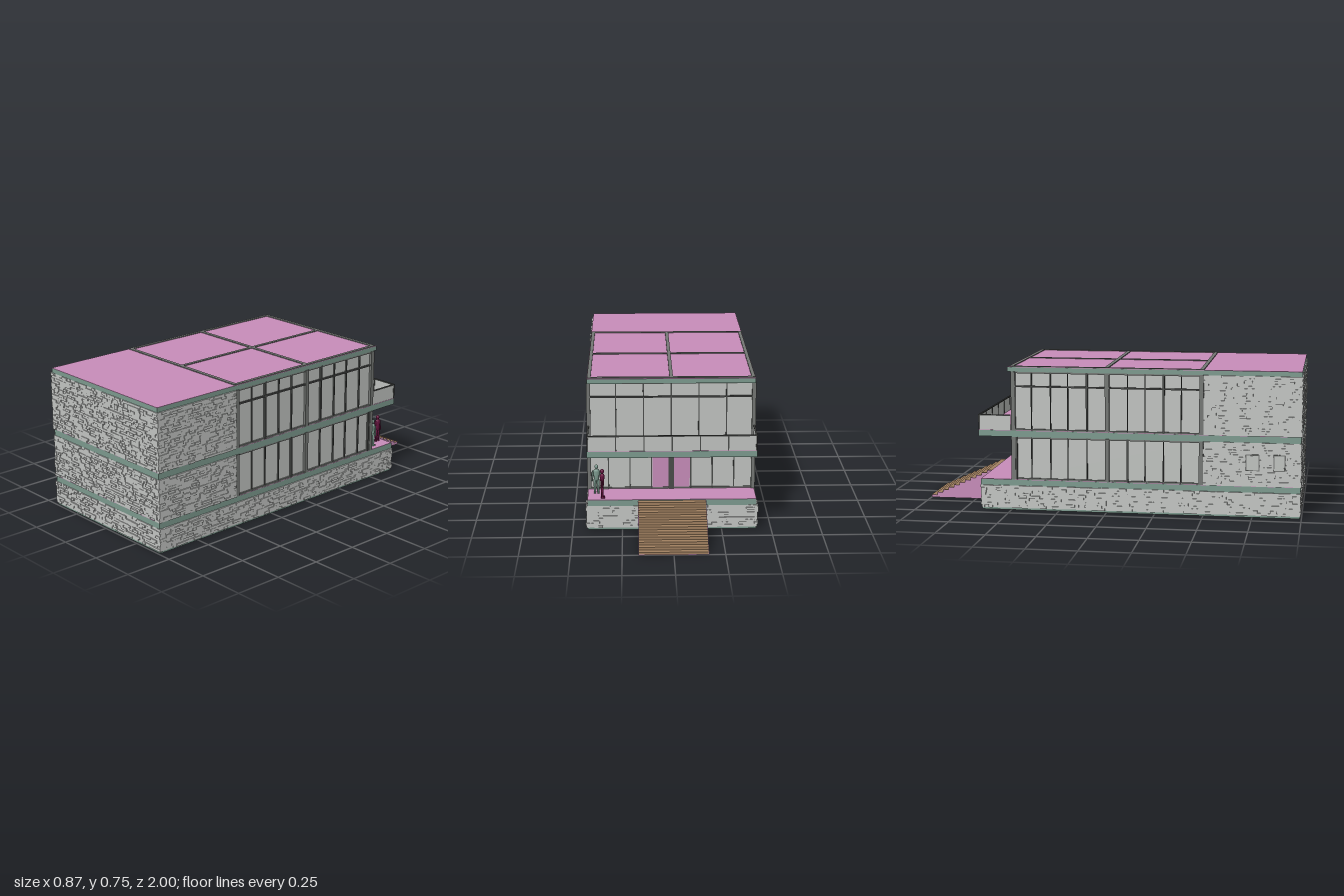
import * as THREE from 'three';
import { mergeGeometries } from 'three/addons/utils/BufferGeometryUtils.js';

const mat = (name, color) => Object.assign(new THREE.MeshStandardMaterial({ color }), { name });

export function createModel() {
  const M = {
    pink: mat('pink plaster', 0xc88dba),
    stone: mat('grey stone', 0xc4c6c4),
    glass: mat('pale glass', 0xc1c4c1),
    green: mat('green slab', 0x7d9b8f),
    frame: mat('frame grey', 0x747774),
    dark: mat('dark rail', 0x4a4c4a),
    wood: mat('brown wood', 0xa08060),
    maroon: mat('maroon cloth', 0x6a1642),
  };
  const model = new THREE.Group();
  model.name = 'house';

  let seed = 7;
  const rnd = () => (seed = (seed * 16807) % 2147483647) / 2147483647;

  // Box given by its limits on each axis
  const boxGeo = (x0, x1, y0, y1, z0, z1) =>
    new THREE.BoxGeometry(x1 - x0, y1 - y0, z1 - z0)
      .translate((x0 + x1) / 2, (y0 + y1) / 2, (z0 + z1) / 2);
  const add = (name, geo, material, parent = model) => {
    const mesh = new THREE.Mesh(geo, material);
    mesh.name = name;
    parent.add(mesh);
    return mesh;
  };
  const box = (name, material, ...lim) => add(name, boxGeo(...lim), material);

  // Rough stone cladding: courses of blocks with uneven depth.
  // The wall faces +z, then turns about y and moves out by dist.
  const cladding = (name, u0, u1, y0, y1, turn, dist) => {
    const blocks = [];
    const rows = Math.round((y1 - y0) / 0.0125);
    const h = (y1 - y0) / rows;
    for (let r = 0; r < rows; r++) {
      let u = u0;
      while (u < u1 - 1e-4) {
        let end = u + 0.018 + rnd() * 0.028;
        if (end > u1 - 0.012) end = u1;
        blocks.push(boxGeo(u, end, y0 + r * h, y0 + (r + 1) * h, dist - 0.02, dist - rnd() * 0.009));
        u = end;
      }
    }
    add(name, mergeGeometries(blocks).rotateY(turn), M.stone);
  };
  const Q = Math.PI / 2;

  // Hollow base: wall cores, two recesses open below, footing
  const baseWalls = [
    [-0.42, -0.4, -0.65, 0.985], [0.4, 0.42, -0.65, 0.985],
    [-0.42, 0.42, -0.65, -0.63], [-0.42, 0.42, 0.965, 0.985],
    [-0.4, 0.4, 0.48, 0.52],
  ];
  for (const [x0, x1, z0, z1] of baseWalls) {
    box('baseWall', M.pink, x0, x1, 0.006, 0.13, z0, z1);
    box('footingUnderside', M.frame, x0, x1, 0, 0.006, z0, z1);
  }
  for (const s of [-1, 1]) {
    const x = s * 0.422;
    box('footingSide', M.green, x - 0.003, x + 0.003, 0.002, 0.013, -0.65, 0.99);
  }
  box('footingFront', M.green, -0.423, 0.423, 0.002, 0.013, 0.98, 0.992);
  box('footingBack', M.green, -0.423, 0.423, 0.002, 0.013, -0.655, -0.645);
  box('recessCeiling', M.pink, -0.41, 0.41, 0.125, 0.131, -0.64, 0.98);
  cladding('baseStoneFront', -0.43, 0.43, 0.012, 0.13, 0, 1);
  cladding('baseStoneBack', -0.43, 0.43, 0.012, 0.13, Math.PI, 0.662);
  cladding('baseStoneLeft', -0.995, 0.658, 0.012, 0.13, Q, 0.435);
  cladding('baseStoneRight', -0.658, 0.995, 0.012, 0.13, -Q, 0.435);

  // Floor slabs and roof with pink tops
  const slab = (name, y0, y1, back) => {
    box(name, M.green, -0.424, 0.424, y0, y1 - 0.002, back, 0.993);
    box(name + 'Top', M.pink, -0.424, 0.424, y1 - 0.002, y1, back, 0.993);
  };
  slab('terraceSlab', 0.13, 0.162, -0.66);
  slab('balconySlab', 0.386, 0.42, -0.67);
  slab('roof', 0.725, 0.75, -0.515);

  // Roof grid
  for (const z of [-0.495, 0, 0.49]) box('roofGridCross', M.frame, -0.42, 0.42, 0.75, 0.754, z - 0.01, z + 0.01);
  for (const x of [-0.413, 0, 0.413]) box('roofGridLong', M.frame, x - 0.009, x + 0.009, 0.75, 0.754, -0.5, 0.5);

  // Two storeys: stone front half, glazed rear half
  const storeys = [
    { y0: 0.162, y1: 0.386, heavy: [0.11, -0.47], back: [-0.32, -0.21, -0.1, 0.1, 0.21, 0.32] },
    { y0: 0.42, y1: 0.725, heavy: [0.295, -0.1], back: [-0.28, -0.14, 0, 0.14, 0.28] },
  ];
  for (const { y0, y1, heavy, back } of storeys) {
    box('stoneCore', M.stone, -0.418, 0.418, y0, y1, 0.5, 0.982);
    cladding('stoneFront', -0.43, 0.43, y0, y1, 0, 1);
    cladding('stoneLeft', -0.995, -0.5, y0, y1, Q, 0.435);
    cladding('stoneRight', 0.5, 0.995, y0, y1, -Q, 0.435);
    box('glazing', M.glass, -0.414, 0.414, y0, y1, -0.485, 0.5);

    for (const s of [-1, 1]) {
      const side = (name, material, z, w, out) =>
        box(name, material, s * 0.418 - out, s * 0.418 + out, y0, y1, z - w / 2, z + w / 2);
      for (const z of [0.488, 0.005, -0.485]) side('sidePost', M.frame, z, 0.022, 0.01);
      for (const z of [0.385, 0.295, 0.2, 0.11, -0.1, -0.2, -0.29, -0.39])
        side('sideMullion', M.dark, z, 0.005, 0.005);
      for (const z of heavy) side('heavyMullion', M.dark, z, 0.01, 0.007);
      for (const y of [y0 + 0.004, y1 - 0.004])
        box('sideRail', M.frame, s * 0.417 - 0.006, s * 0.417 + 0.006, y - 0.004, y + 0.004, -0.485, 0.5);
    }
    for (const x of back) box('backMullion', M.dark, x - 0.003, x + 0.003, y0, y1, -0.491, -0.48);
    for (const y of [y0 + 0.004, y1 - 0.004])
      box('backRail', M.frame, -0.42, 0.42, y - 0.004, y + 0.004, -0.491, -0.48);
  }

  // Transom bar round the upper storey
  for (const s of [-1, 1])
    box('sideTransom', M.dark, s * 0.417 - 0.006, s * 0.417 + 0.006, 0.645, 0.653, -0.49, 0.49);
  box('backTransom', M.dark, -0.42, 0.42, 0.645, 0.653, -0.493, -0.48);

  // Entrance doors
  for (const s of [-1, 1]) box('door', M.pink, s * 0.055 - 0.04, s * 0.055 + 0.04, 0.164, 0.35, -0.49, -0.482);
  box('doorPost', M.dark, -0.014, 0.014, 0.162, 0.386, -0.495, -0.482);
  box('doorHead', M.dark, -0.1, 0.1, 0.35, 0.357, -0.494, -0.482);

  // Small windows in the right stone wall
  for (const [z0, z1] of [[0.72, 0.78], [0.86, 0.91]]) {
    box('windowFrame', M.frame, -0.436, -0.428, 0.243, 0.327, z0 - 0.005, z1 + 0.005);
    box('windowPane', M.glass, -0.438, -0.43, 0.248, 0.322, z0, z1);
  }

  // Balcony balustrade: glass panels, posts and handrail
  box('balustradeBack', M.glass, -0.42, 0.42, 0.42, 0.495, -0.668, -0.664);
  box('handrailBack', M.dark, -0.424, 0.424, 0.494, 0.5, -0.671, -0.662);
  for (let i = 0; i <= 6; i++) {
    const x = -0.42 + i * 0.14;
    box('balustradePost', M.dark, x - 0.003, x + 0.003, 0.42, 0.497, -0.671, -0.662);
  }
  for (const s of [-1, 1]) {
    const x = s * 0.42;
    box('balustradeSide', M.glass, x - 0.002, x + 0.002, 0.42, 0.495, -0.666, -0.5);
    box('handrailSide', M.dark, x - 0.004, x + 0.004, 0.494, 0.5, -0.67, -0.5);
  }

  // Entrance steps: wooden steps between pink side plates
  const steps = 11, run = 0.34 / steps, rise = 0.157 / steps;
  for (let i = 0; i < steps; i++) {
    const z = -1 + i * run, top = (i + 1) * rise;
    box('step', M.wood, -0.168, 0.168, 0.003, top, z, z + run);
    for (const s of [-1, 1])
      box('stepSide', M.pink, s * 0.169 - 0.0015, s * 0.169 + 0.0015, 0, top - 0.001, z, z + run);
  }
  box('stairUnderside', M.pink, -0.168, 0.168, 0, 0.003, -1, -0.66);

  // Two standing figures on the terrace
  const figure = (name, material, x, z, turn) => {
    const g = new THREE.Group();
    g.name = name;
    const torso = [[0.001, 0.062], [0.014, 0.065], [0.013, 0.085], [0.018, 0.115], [0.012, 0.124], [0.005, 0.128], [0.005, 0.135]];
    add('torso', new THREE.LatheGeometry(torso.map(p => new THREE.Vector2(...p)), 12).scale(1, 1, 0.7), material, g);
    add('head', new THREE.SphereGeometry(0.0105, 12, 8).scale(0.85, 1.15, 1).translate(0, 0.139, 0), material, g);
    for (const s of [-1, 1]) {
      add('leg', new THREE.CylinderGeometry(0.008, 0.005, 0.07, 8).translate(s * 0.008, 0.037, 0), material, g);
      add('shoe', new THREE.BoxGeometry(0.009, 0.006, 0.02).translate(s * 0.009, 0.003, 0.004), material, g);
      add('arm', new THREE.CylinderGeometry(0.0055, 0.004, 0.055, 8).rotateZ(s * 0.12).translate(s * 0.02, 0.09, 0), material, g);
    }
    g.position.set(x, 0.162, z);
    g.rotation.y = turn;
    model.add(g);
  };
  figure('greenFigure', M.green, 0.38, -0.55, Math.PI);
  figure('maroonFigure', M.maroon, 0.35, -0.622, -Q);

  return model;
}
